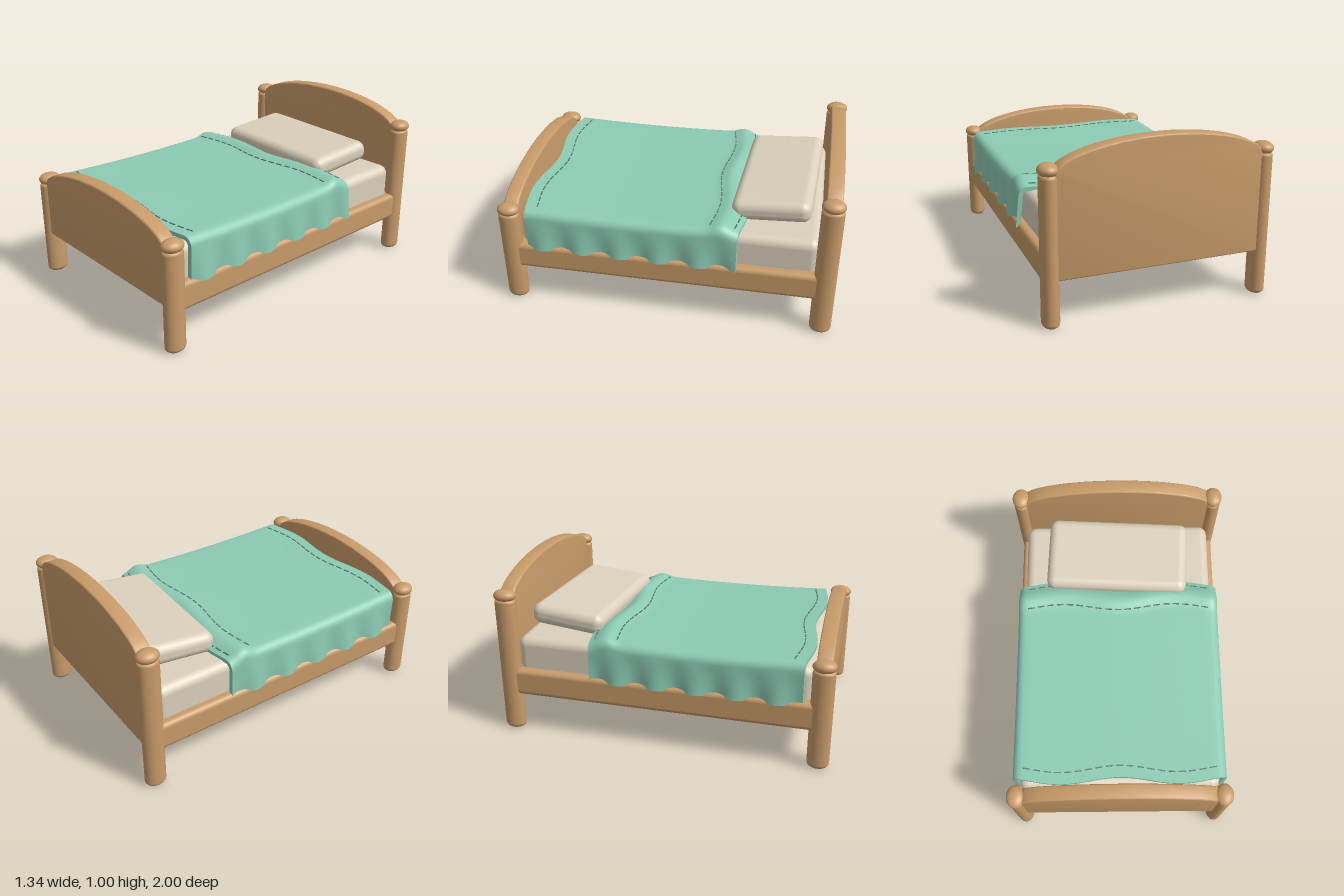
import * as THREE from 'three';
import { toCreasedNormals } from 'three/addons/utils/BufferGeometryUtils.js';
import { RoundedBoxGeometry } from 'three/addons/geometries/RoundedBoxGeometry.js';

const material = (name, color) => {
  const m = new THREE.MeshStandardMaterial({ color });
  m.name = name;
  return m;
};

// Bedpost with rounded foot, slightly oval in plan, plus a flattened knob
function makePost(height, wood, name) {
  const group = new THREE.Group();
  group.name = name;
  const r = 0.05, c = 0.03, pts = [new THREE.Vector2(0, 0)];
  for (let i = 0; i <= 5; i++) {
    const a = (i / 5) * Math.PI / 2;
    pts.push(new THREE.Vector2(r - c + c * Math.sin(a), c - c * Math.cos(a)));
  }
  for (let i = 0; i <= 5; i++) {
    const a = (i / 5) * Math.PI / 2;
    pts.push(new THREE.Vector2(r - 0.02 + 0.02 * Math.cos(a), height - 0.02 + 0.02 * Math.sin(a)));
  }
  pts.push(new THREE.Vector2(0, height));
  const post = new THREE.Mesh(new THREE.LatheGeometry(pts, 32), wood);
  post.scale.z = 1.28;
  post.name = 'postShaft';
  const knob = new THREE.Mesh(new THREE.SphereGeometry(1, 32, 20), wood);
  knob.scale.set(0.055, 0.037, 0.067);
  knob.position.y = height + 0.02;
  knob.name = 'postKnob';
  group.add(post, knob);
  return group;
}

// Arched end board with a softened edge
function makeBoard(endY, topY, wood, name) {
  const b = 0.01, half = 0.59 - b, low = 0.27 + b;
  const shape = new THREE.Shape();
  shape.moveTo(-half, low);
  shape.lineTo(half, low);
  for (let i = 0; i <= 48; i++) {
    const a = Math.cos((i / 48) * Math.PI);
    const rise = Math.pow(Math.max(0, 1 - a * a), 0.6);
    shape.lineTo(a * half, endY + (topY - endY - b) * rise);
  }
  const geo = new THREE.ExtrudeGeometry(shape, {
    depth: 0.07, bevelEnabled: true, bevelSize: b, bevelThickness: b, bevelSegments: 3,
  });
  geo.translate(0, 0, -0.035);
  const mesh = new THREE.Mesh(toCreasedNormals(geo, 0.6), wood);
  mesh.name = name;
  return mesh;
}

// Height of the blanket's top: gentle sag, a fold near the pillow, a dropped head edge
function blanketTop(z) {
  const sag = 0.626 + 0.014 * ((z - 0.2) / 0.62) ** 2;
  const fold = 0.02 * Math.exp(-(((z + 0.33) / 0.05) ** 2));
  const drop = 0.03 * THREE.MathUtils.smoothstep(-z, 0.36, 0.46);
  return sag + fold - drop;
}

// The ends of the blanket wander in a slow wave across its width
const waveZ = (x, z) => z + 0.02 * Math.cos((2 * Math.PI * x) / 0.7) * THREE.MathUtils.clamp((0.2 - z) / 0.5, -1, 1);

// Half cross-section, from hem to the middle, inset by d
function blanketHalf(side, z, d) {
  const pts = [], top = blanketTop(z) - d, w = 0.64 - d, r = 0.055 - d, hem = 0.378;
  const add = (x, y) => {
    const k = THREE.MathUtils.clamp((top - r - y) / (top - r - hem), 0, 1);
    const ripple = k * (0.006 + 0.016 * Math.sin(z * 26 + (side > 0 ? 0.9 : 2.2)));
    pts.push(new THREE.Vector3(side * (x + ripple), y, waveZ(x, z)));
  };
  for (let i = 0; i < 7; i++) add(w, hem + (top - r - hem) * (i / 7));
  for (let i = 0; i <= 6; i++) {
    const a = (i / 6) * Math.PI / 2;
    add(w - r + r * Math.cos(a), top - r + r * Math.sin(a));
  }
  for (let i = 1; i <= 14; i++) add((w - r) * (1 - i / 14), top);
  return pts;
}

// Thick draped blanket lofted from head to foot
function makeBlanket(cloth) {
  const rows = 72, pos = [], idx = [];
  let n = 0;
  const section = (z, d) => [...blanketHalf(1, z, d), ...blanketHalf(-1, z, d).reverse().slice(1)];
  for (let i = 0; i <= rows; i++) {
    const z = -0.44 + 1.285 * (i / rows);
    const outer = section(z, 0), inner = section(z, 0.025).reverse();
    n = outer.length;
    for (const p of [...outer, ...inner]) pos.push(p.x, p.y, p.z);
  }
  const m = 2 * n;
  for (let i = 0; i < rows; i++) {
    for (let j = 0; j < m; j++) {
      const a = i * m + j, b = i * m + ((j + 1) % m), c = a + m, e = b + m;
      idx.push(a, b, c, b, e, c);
    }
  }
  for (let j = 0; j < n - 1; j++) {
    const a = j, b = j + 1, c = m - 1 - j, e = m - 2 - j, o = rows * m;
    idx.push(b, a, c, b, c, e);
    idx.push(o + a, o + b, o + c, o + b, o + e, o + c);
  }
  const geo = new THREE.BufferGeometry();
  geo.setAttribute('position', new THREE.Float32BufferAttribute(pos, 3));
  geo.setIndex(idx);
  const mesh = new THREE.Mesh(toCreasedNormals(geo, 0.9), cloth);
  mesh.name = 'blanket';
  return mesh;
}

// Dashed seam across the blanket
function makeSeam(z, thread) {
  const seam = new THREE.Group();
  seam.name = 'stitching';
  const geo = new THREE.BoxGeometry(0.042, 0.006, 0.007);
  for (let i = 0; i < 19; i++) {
    const x = -0.555 + (1.11 * i) / 18;
    const stitch = new THREE.Mesh(geo, thread);
    stitch.position.set(x, blanketTop(z) + 0.001, waveZ(x, z));
    stitch.rotation.y = -Math.atan2(waveZ(x + 0.01, z) - waveZ(x - 0.01, z), 0.02);
    stitch.name = 'stitch';
    seam.add(stitch);
  }
  return seam;
}

export function createModel() {
  const wood = material('warm wood', 0xc89b69);
  const linen = material('cream linen', 0xdbd0bc);
  const cloth = material('mint cloth', 0x8ccbb4);
  const thread = material('dark thread', 0x63796c);
  const bed = new THREE.Group();
  bed.name = 'bed';

  // Frame
  for (const side of [1, -1]) {
    const front = makePost(0.607, wood, 'frontPost');
    front.position.set(side * 0.616, 0, 0.933);
    const back = makePost(0.842, wood, 'backPost');
    back.position.set(side * 0.616, 0, -0.933);
    bed.add(front, back);
  }
  const headboard = makeBoard(0.85, 1.0, wood, 'headboard');
  headboard.position.z = -0.935;
  const footboard = makeBoard(0.615, 0.762, wood, 'footboard');
  footboard.position.z = 0.93;
  const base = new THREE.Mesh(new RoundedBoxGeometry(1.3, 0.168, 1.83, 5, 0.03), wood);
  base.position.y = 0.318;
  base.name = 'bedBase';

  // Bedding
  const mattress = new THREE.Mesh(new RoundedBoxGeometry(1.2, 0.25, 1.77, 6, 0.055), linen);
  mattress.position.set(0, 0.47, -0.005);
  mattress.name = 'mattress';
  const pillow = new THREE.Mesh(new RoundedBoxGeometry(0.895, 0.13, 0.465, 8, 0.055), linen);
  pillow.position.set(0, 0.662, -0.613);
  pillow.rotation.set(0.09, -0.052, 0);
  pillow.name = 'pillow';

  bed.add(headboard, footboard, base, mattress, pillow, makeBlanket(cloth));
  for (const z of [-0.41, -0.27, 0.775]) bed.add(makeSeam(z, thread));
  return bed;
}
